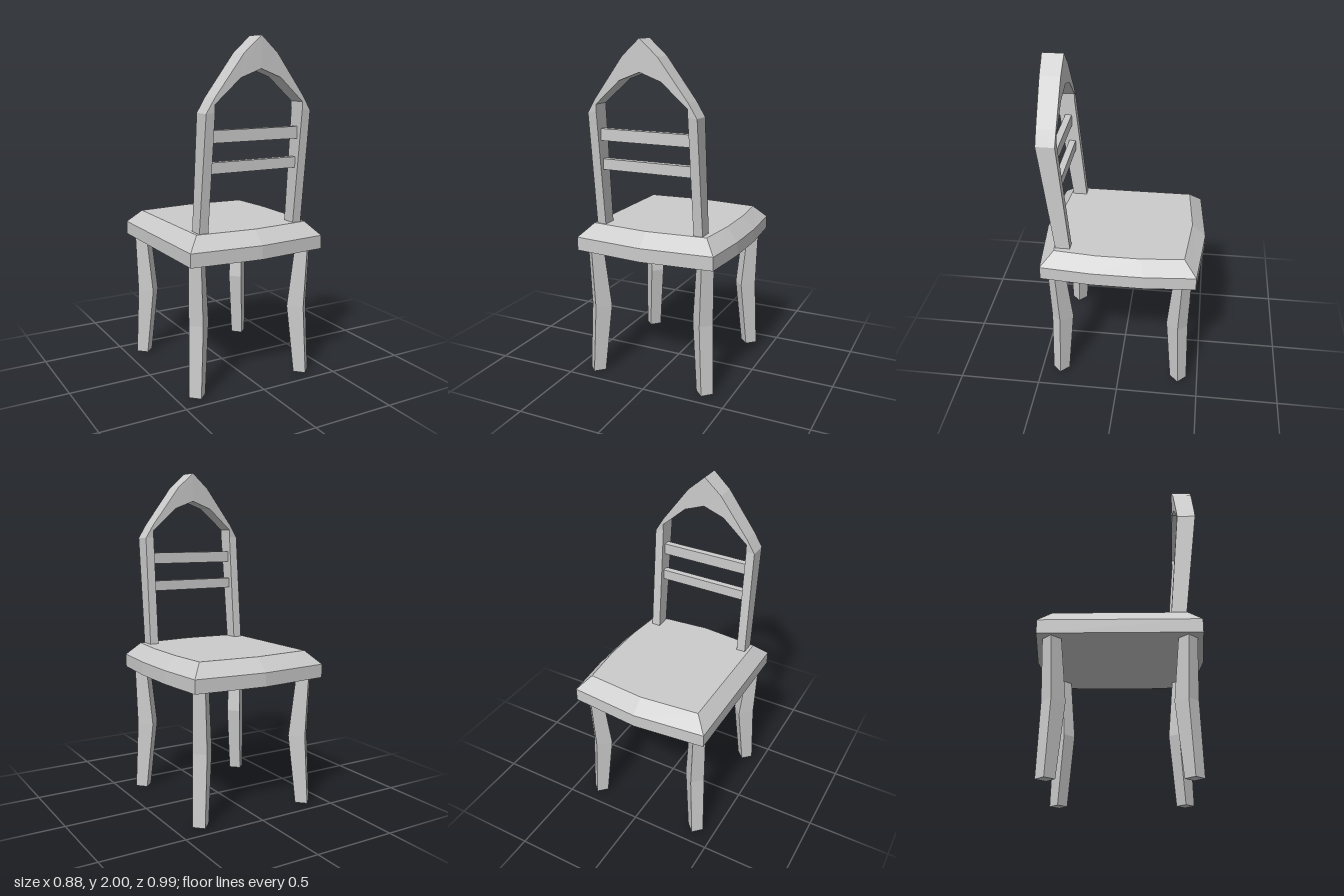
import * as THREE from 'three';

const material = new THREE.MeshStandardMaterial({ color: 0xcccccc, flatShading: true, side: THREE.DoubleSide });

// Solid skinned over a list of rings with equal point counts, capped at both ends
function loft(name, rings) {
  const n = rings[0].length;
  const pos = rings.flat(2);
  const index = [];
  for (let r = 0; r < rings.length - 1; r++) {
    for (let i = 0; i < n; i++) {
      const a = r * n + i, b = r * n + (i + 1) % n;
      index.push(a, a + n, b, b, a + n, b + n);
    }
  }
  const last = (rings.length - 1) * n;
  for (let i = 1; i < n - 1; i++) {
    index.push(0, i, i + 1, last, last + i + 1, last + i);
  }
  const geo = new THREE.BufferGeometry();
  geo.setAttribute('position', new THREE.Float32BufferAttribute(pos, 3));
  geo.setIndex(index);
  const flat = geo.toNonIndexed();
  flat.computeVertexNormals();
  const mesh = new THREE.Mesh(flat, material);
  mesh.name = name;
  return mesh;
}

// Seat: bowed outline, upright rim, then a chamfer up to the inset top
function makeSeat() {
  const rim = [[-0.445, 0.455], [-0.015, 0.492], [0.415, 0.455], [0.44, 0.15],
    [0.44, -0.15], [0.415, -0.455], [-0.015, -0.495], [-0.445, -0.455]];
  const top = [[-0.37, 0.38], [-0.015, 0.412], [0.345, 0.38], [0.368, 0.13],
    [0.368, -0.13], [0.345, -0.38], [-0.015, -0.412], [-0.37, -0.38]];
  const ring = (outline, y) => outline.map(([x, z]) => [x, y, z]);
  return loft('seat', [ring(rim, 0.78), ring(rim, 0.86), ring(top, 0.938)].map(r => r.reverse()));
}

// Leg: square section turned to the diagonal, knee bent towards the middle
function makeLeg(name, sx, sz) {
  const stations = [
    // y, x, z, half depth along the diagonal, half width across it
    [0, 0.357, 0.379, 0.037, 0.037],
    [0.42, 0.332, 0.356, 0.05, 0.042],
    [0.8, 0.352, 0.377, 0.037, 0.037],
  ];
  const rings = stations.map(([y, x, z, a, b]) => {
    const ring = [[1, 1], [1, -1], [-1, -1], [-1, 1]].map(([i, j]) => [
      -0.016 + sx * (x + (i * a + j * b) * Math.SQRT1_2), y,
      sz * (z + (i * a - j * b) * Math.SQRT1_2)]);
    return sx * sz > 0 ? ring.reverse() : ring;
  });
  return loft(name, rings);
}

// Back frame: posts and pointed arch swept as one band
function makeBackFrame() {
  const cx = -0.016;
  const half = [
    // outer x, outer y, inner x, inner y, z of the inward and rear faces
    [0.335, 0.92, 0.28, 0.92, 0.288, 0.374],
    [0.33, 1.595, 0.277, 1.6, 0.344, 0.452],
    [0.279, 1.677, 0.277, 1.643, 0.342, 0.453],
    [0.105, 1.907, 0.125, 1.778, 0.339, 0.457],
  ];
  const section = (s, [ox, oy, ix, iy, z0, z1]) => [
    [cx + s * ox, oy, z0], [cx + s * ox, oy, z1], [cx + s * ix, iy, z1], [cx + s * ix, iy, z0]];
  const peak = [0, 2, 0, 1.825, 0.336, 0.46];
  return loft('backFrame', [
    ...half.map(h => section(-1, h)), section(1, peak),
    ...half.slice().reverse().map(h => section(1, h))]);
}

export function createModel() {
  const model = new THREE.Group();
  model.name = 'chair';
  model.add(makeSeat(), makeBackFrame());

  for (const sx of [-1, 1]) {
    for (const sz of [-1, 1]) {
      model.add(makeLeg((sz > 0 ? 'back' : 'front') + (sx > 0 ? 'Left' : 'Right') + 'Leg', sx, sz));
    }
  }

  // Cross rails between the posts
  for (const [name, y, h, z] of [['lowerRail', 1.297, 0.062, 0.368], ['upperRail', 1.469, 0.068, 0.386]]) {
    const rail = new THREE.Mesh(new THREE.BoxGeometry(0.58, h, 0.04), material);
    rail.name = name;
    rail.position.set(-0.016, y, z);
    model.add(rail);
  }
  return model;
}
